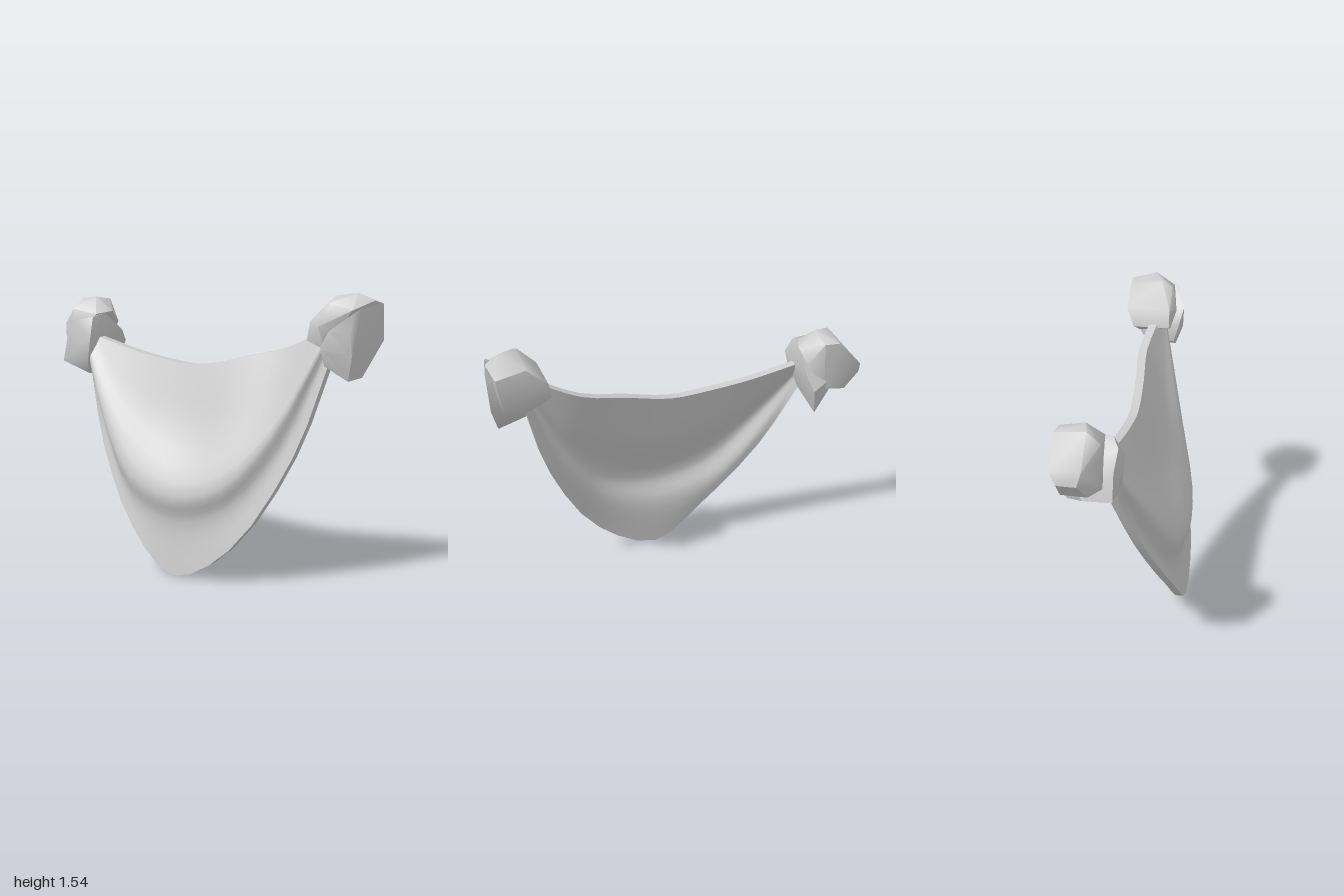
import * as THREE from 'three';
import { toCreasedNormals } from 'three/addons/utils/BufferGeometryUtils.js';
import { ConvexGeometry } from 'three/addons/geometries/ConvexGeometry.js';

const clothGrey = new THREE.MeshStandardMaterial({ color: 0xcccccc });
clothGrey.name = 'clothGrey';

const v = (p) => new THREE.Vector3(...p);
const spline = (points) => new THREE.CatmullRomCurve3(points, false, 'centripetal');

// Sagging guide lines from knot to knot, upper edge first, hem last
const folds = [
  [[-.72, 1.19, -.02], [-.45, 1.135, -.01], [-.2, 1.105, 0], [0, 1.1, 0], [.25, 1.165, -.02], [.5, 1.235, -.05], [.72, 1.34, -.02]],
  [[-.73, 1.16, 0], [-.5, .96, .07], [-.24, .81, .11], [0, .75, .12], [.26, .83, .11], [.5, .98, .06], [.73, 1.3, 0]],
  [[-.74, 1.12, .03], [-.53, .78, .16], [-.29, .52, .255], [0, .44, .285], [.29, .52, .25], [.53, .8, .15], [.75, 1.27, .02]],
  [[-.75, 1.1, .02], [-.545, .7, .12], [-.3, .38, .22], [0, .29, .245], [.31, .4, .21], [.57, .74, .11], [.76, 1.25, 0]],
  [[-.75, 1.07, 0], [-.56, .62, .13], [-.27, .21, .25], [0, 0, .27], [.34, .19, .24], [.64, .7, .11], [.79, 1.22, 0]],
];

// Thick sheet lofted through the guide lines
function drapeGeometry(cols = 18, rows = 16, thickness = 0.045) {
  const lines = folds.map((f) => spline(f.map(v)));
  const positions = [];
  const index = [];
  for (const offset of [0, -thickness]) {
    for (let i = 0; i <= cols; i++) {
      const column = spline(lines.map((l) => l.getPoint(i / cols)));
      for (let j = 0; j <= rows; j++) {
        const p = column.getPoint(j / rows);
        positions.push(p.x, p.y, p.z + offset);
      }
    }
  }
  const at = (i, j) => i * (rows + 1) + j;
  const back = (cols + 1) * (rows + 1);
  for (let i = 0; i < cols; i++) {
    for (let j = 0; j < rows; j++) {
      const a = at(i, j), b = at(i + 1, j), c = at(i, j + 1), d = at(i + 1, j + 1);
      index.push(a, c, d, a, d, b);
      index.push(a + back, d + back, c + back, a + back, b + back, d + back);
    }
  }
  // Rim joining front and back
  const loop = [];
  for (let j = 0; j < rows; j++) loop.push(at(0, j));
  for (let i = 0; i < cols; i++) loop.push(at(i, rows));
  for (let j = rows; j > 0; j--) loop.push(at(cols, j));
  for (let i = cols; i > 0; i--) loop.push(at(i, 0));
  loop.forEach((p, k) => {
    const q = loop[(k + 1) % loop.length];
    index.push(q, p, p + back, q, p + back, q + back);
  });
  const geometry = new THREE.BufferGeometry();
  geometry.setAttribute('position', new THREE.Float32BufferAttribute(positions, 3));
  geometry.setIndex(index);
  return toCreasedNormals(geometry, 0.9);
}

// Each knot is a hanging lobe with a second lobe wrapped over it
const knots = {
  leftKnot: {
    lobe: [[.93, 1.36, .07], [.96, 1.48, .01], [.995, 1.49, -.16], [.985, 1.3, -.19], [.93, 1.12, -.07],
      [.91, 1.115, .04], [.94, 1.25, .06], [.83, 1.37, .1], [.77, 1.28, .08], [.78, 1.18, .05],
      [.78, 1.18, -.08], [.8, 1.2, -.13], [.8, 1.3, -.18], [.94, 1.46, .05], [.8, 1.27, .1]],
    wrap: [[.67, 1.3, .04], [.69, 1.4, .04], [.67, 1.3, -.16], [.69, 1.4, -.2], [.8, 1.53, -.02],
      [.8, 1.5, .04], [.9, 1.545, -.07], [.98, 1.51, -.1], [.96, 1.48, -.22], [.8, 1.5, -.2],
      [.93, 1.3, -.225], [.77, 1.26, .03], [.78, 1.24, -.15], [.75, 1.38, .07], [.92, 1.47, .03]],
  },
  rightKnot: {
    lobe: [[-.7, 1.31, -.08], [-.69, 1.2, -.22], [-.71, 1.13, -.28], [-.75, .96, -.21], [-.77, .97, -.02],
      [-.72, 1.05, .06], [-.69, 1.2, .07], [-.71, 1.3, .02], [-.87, 1.18, .05], [-.9, 1.04, .05],
      [-.89, 1.03, -.1], [-.8, 1.28, .06], [-.85, 1.15, -.2]],
    wrap: [[-1, 1.16, -.1], [-1, 1.16, -.2], [-.985, 1.23, -.08], [-.985, 1.23, -.24], [-.86, 1.385, -.08],
      [-.86, 1.37, -.24], [-.78, 1.395, -.1], [-.78, 1.37, -.23], [-.68, 1.32, -.12], [-.7, 1.25, -.2],
      [-.72, 1.31, -.02], [-.87, 1.33, -.01], [-.94, 1.08, -.06], [-.92, 1.07, -.2], [-.8, 1.1, -.22],
      [-.88, 1.1, 0], [-.87, 1.26, 0]],
  },
};

function addMesh(parent, name, geometry) {
  const mesh = new THREE.Mesh(geometry, clothGrey);
  mesh.name = name;
  parent.add(mesh);
}

export function createModel() {
  const model = new THREE.Group();
  model.name = 'drapedCloth';
  addMesh(model, 'drape', drapeGeometry());
  for (const [name, parts] of Object.entries(knots)) {
    const knot = new THREE.Group();
    knot.name = name;
    for (const [part, points] of Object.entries(parts)) {
      addMesh(knot, part, toCreasedNormals(new ConvexGeometry(points.map(v)), 0.85));
    }
    model.add(knot);
  }
  return model;
}
